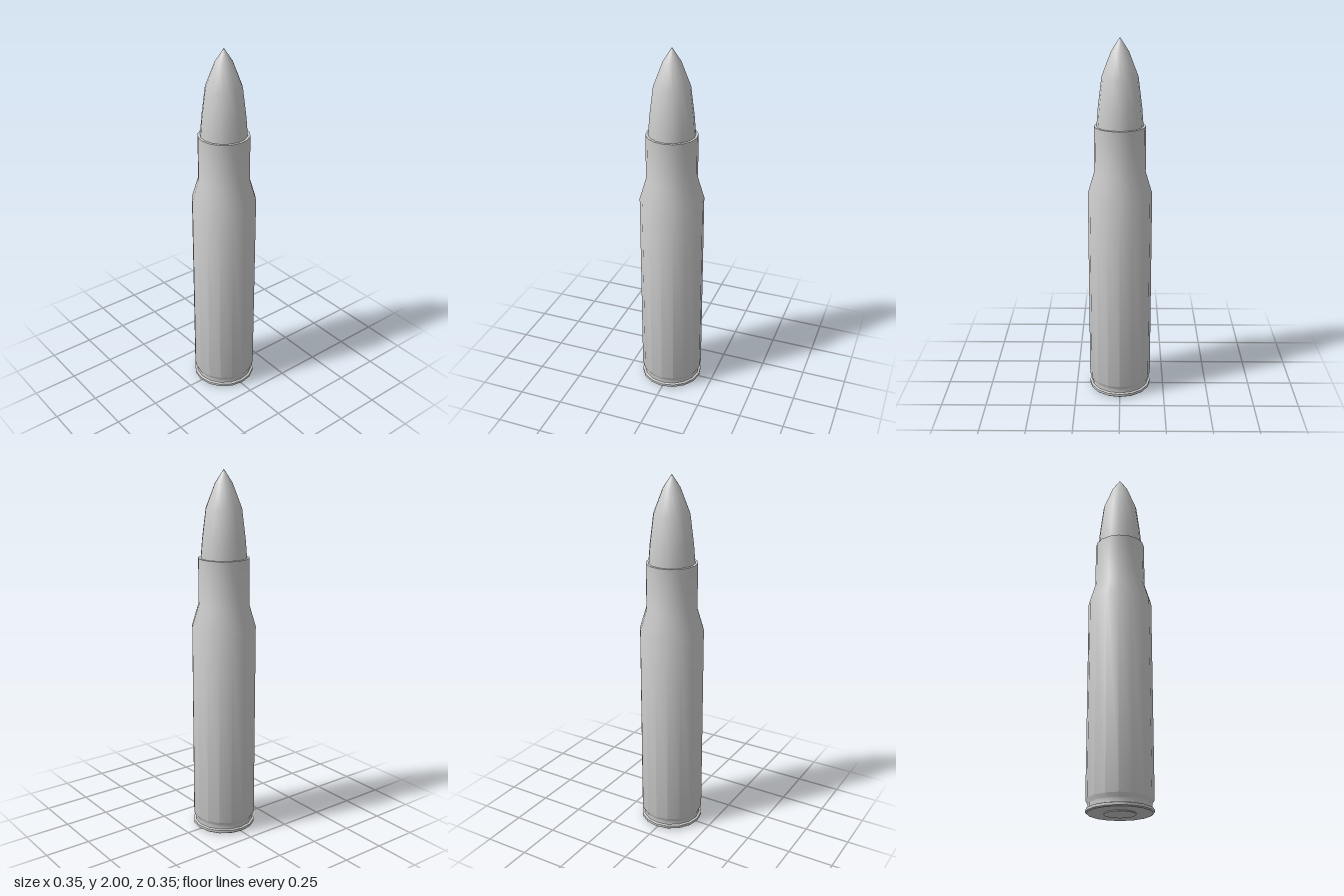
import * as THREE from 'three';
import { toCreasedNormals } from 'three/addons/utils/BufferGeometryUtils.js';

const SIDES = 16;

export function createModel() {
  const group = new THREE.Group();
  const metal = new THREE.MeshStandardMaterial({ color: 0xcccccc });
  metal.name = 'grey metal';

  // Turned part from [radius, height] pairs, listed bottom to top
  function turned(name, profile) {
    const points = profile.map(([r, y]) => new THREE.Vector2(r, y));
    const geometry = toCreasedNormals(new THREE.LatheGeometry(points, SIDES), 0.55);
    const mesh = new THREE.Mesh(geometry, metal);
    mesh.name = name;
    group.add(mesh);
  }

  // Casing: rim, extractor groove, body, shoulder, neck and open mouth
  turned('casing', [
    [0, 0.005], [0.168, 0.005], [0.174, 0.01], [0.174, 0.024],
    [0.162, 0.028], [0.162, 0.05], [0.174, 0.072],
    [0.174, 1.17], [0.138, 1.29], [0.138, 1.54],
    [0.124, 1.54], [0.124, 1.5],
  ]);

  // Primer disc, slightly proud of the base
  turned('primer', [[0, 0], [0.083, 0], [0.083, 0.006]]);

  // Pointed tip seated in the neck
  turned('tip', [
    [0, 1.48], [0.124, 1.48], [0.124, 1.54], [0.116, 1.64],
    [0.096, 1.8], [0.046, 1.93], [0, 2],
  ]);

  return group;
}
